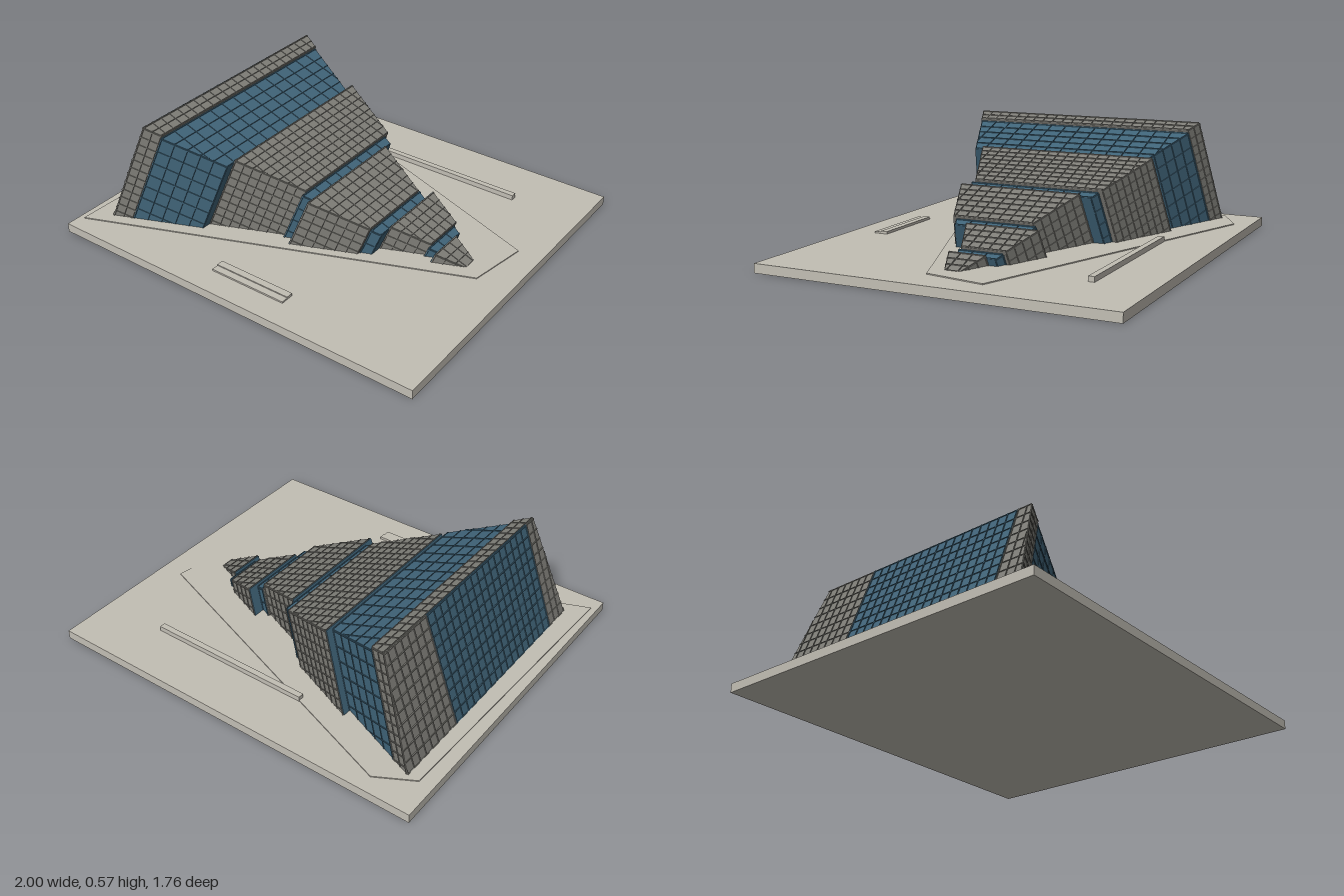
import * as THREE from 'three';
import { mergeGeometries } from 'three/addons/utils/BufferGeometryUtils.js';

const material = (name, color) => new THREE.MeshStandardMaterial({ name, color });

const GROUND = 0.045, LEAN = 0.36, TAPER = 0.41, PITCH = 0.3226;
const RIB = 0.004, PROUD = 0.004;

// leaning wedge: s is the x position at ground level, y the height over the ground
const xAt = (s, y) => s + LEAN * y;
const halfWidth = x => 0.343 - TAPER * x;
const roofAt = (s, drop) => Math.max(0.001, 0.2446 - PITCH * s - drop);

// six-sided solid from a corner rule f(i, j, k) -> [x, y, z], flat shaded
function block(f) {
  const c = [];
  for (let n = 0; n < 8; n++) c.push(new THREE.Vector3(...f(n & 1, (n >> 1) & 1, n >> 2)));
  const quads = [[0, 4, 6, 2], [1, 3, 7, 5], [0, 1, 5, 4], [2, 6, 7, 3], [0, 2, 3, 1], [4, 5, 7, 6]];
  const u = c[1].clone().sub(c[0]), v = c[2].clone().sub(c[0]), w = c[4].clone().sub(c[0]);
  const flip = u.cross(v).dot(w) < 0;
  const pos = [];
  for (const q of quads) {
    const [a, b, d, e] = flip ? [...q].reverse() : q;
    for (const i of [a, b, d, a, d, e]) pos.push(c[i].x, c[i].y + GROUND, c[i].z);
  }
  const g = new THREE.BufferGeometry();
  g.setAttribute('position', new THREE.Float32BufferAttribute(pos, 3));
  g.computeVertexNormals();
  return g;
}

// evenly spaced positions across a span
function steps(a, b, size) {
  const n = Math.max(1, Math.round((b - a) / size));
  return Array.from({ length: n + 1 }, (_, i) => a + (b - a) * i / n);
}

// one slice of the tower with ribs on its roof and side walls
function sliceGeometry({ s0, s1, zc, drop, grid }) {
  const top = s => roofAt(s, drop);
  const parts = [block((i, j, k) => {
    const s = i ? s1 : s0, y = j ? top(s) : 0, x = xAt(s, y);
    return [x, y, zc + (k ? 1 : -1) * halfWidth(x)];
  })];
  const sideStep = (sa, sb, low, high) => {
    for (const side of [-1, 1]) parts.push(block((i, j, k) => {
      const s = i ? sb : sa, y = Math.max(0, j ? high(s) : low(s)), x = xAt(s, y);
      return [x, y, zc + side * (halfWidth(x) + (k ? PROUD : -0.002))];
    }));
  };
  // leaning ribs, up the walls and over the roof
  for (const p of steps(s0 + RIB, s1 - RIB, grid * 0.85)) {
    const a = p - RIB / 2, b = p + RIB / 2;
    sideStep(a, b, () => 0, top);
    parts.push(block((i, j, k) => {
      const s = i ? b : a, x = xAt(s, top(s));
      return [x, top(s) + (j ? PROUD : -0.002), zc + (k ? 1 : -1) * halfWidth(x)];
    }));
  }
  // wall ribs parallel to the roof
  for (let d = RIB; d < top(s0) - RIB; d += grid * 0.8) {
    const end = Math.min(s1, s0 + (top(s0) - d) / PITCH);
    sideStep(s0, end, s => top(s) - d - RIB, s => top(s) - d);
  }
  // lengthwise roof ribs, stopping at the tapering eaves
  const w0 = halfWidth(xAt(s0, top(s0)));
  for (const z of steps(-w0 + RIB, w0 - RIB, grid)) {
    const end = Math.min(s1, s0 + (w0 - Math.abs(z)) / (TAPER * (1 - LEAN * PITCH)));
    parts.push(block((i, j, k) => {
      const s = i ? end : s0;
      return [xAt(s, top(s)), top(s) + (j ? PROUD : -0.002), zc + z + (k ? RIB / 2 : -RIB / 2)];
    }));
  }
  return mergeGeometries(parts);
}

// thin plate laid on the leaning rear face of a slice
function capPlate({ s0, zc, drop }) {
  const t = roofAt(s0, drop);
  return block((i, j, k) => {
    const y = j ? t : 0;
    return [xAt(s0, y) + (i ? 0 : -0.003), y, zc + (k ? 1 : -1) * halfWidth(xAt(s0, y))];
  });
}

// ribbed bay of the big rear facade, between two z positions
function facadeBay(s0, za, zb) {
  const t = roofAt(s0, 0);
  const clamp = (z, y) => { const h = halfWidth(xAt(s0, y)); return Math.max(-h, Math.min(h, z)); };
  const plate = (ya, yb, z0, z1, out) => block((i, j, k) => {
    const y = j ? yb : ya;
    return [xAt(s0, y) + (i ? 0.002 : -out), y, clamp(k ? z1 : z0, y)];
  });
  const parts = [plate(0, t, za, zb, 0.002)];
  for (const y of steps(RIB, t - RIB, 0.05)) parts.push(plate(y - RIB / 2, y + RIB / 2, za, zb, 0.006));
  for (const z of steps(za + RIB, zb - RIB, 0.05)) {
    const yMax = Math.min(t, ((0.343 - Math.abs(z)) / TAPER - s0) / LEAN);
    if (yMax > 0.01) parts.push(plate(0, yMax, z - RIB / 2, z + RIB / 2, 0.006));
  }
  return mergeGeometries(parts);
}

export function createModel() {
  const group = new THREE.Group();
  group.name = 'wedgeTower';
  const paving = material('paleStone', 0xc2beb4);
  const stone = material('greyCladding', 0x7e7d77);
  const glass = material('blueGlass', 0x406479);
  const add = (name, geometry, mat) => {
    const mesh = new THREE.Mesh(geometry, mat);
    mesh.name = name;
    group.add(mesh);
    return mesh;
  };
  const box = (name, x0, x1, y0, y1, z0, z1) =>
    add(name, new THREE.BoxGeometry(x1 - x0, y1 - y0, z1 - z0), paving)
      .position.set((x0 + x1) / 2, (y0 + y1) / 2, (z0 + z1) / 2);

  // base, plaza and low outdoor blocks
  box('base', -1, 1, 0, GROUND, -0.88, 0.88);
  const outline = [[-0.97, 0.8], [0.83, 0.09], [0.88, -0.21], [-0.75, -0.8], [-0.93, -0.7]];
  const plaza = new THREE.ExtrudeGeometry(
    new THREE.Shape(outline.map(([x, z]) => new THREE.Vector2(x, -z))), { depth: 0.005, bevelEnabled: false });
  plaza.rotateX(-Math.PI / 2).translate(0, GROUND, 0);
  add('plaza', plaza, paving);
  box('longWall', -0.22, 0.64, GROUND, 0.07, -0.61, -0.58);
  box('lowerStep', -0.18, 0.23, GROUND, 0.053, 0.68, 0.75);
  box('upperStep', -0.18, 0.23, 0.053, 0.058, 0.68, 0.715);

  // slices alternate stone and glass, shifted sideways from one another
  const cuts = [-0.87, -0.775, -0.44, -0.08, -0.025, 0.285, 0.34, 0.545, 0.595, 0.75];
  const shifts = [0, 0, -0.044, -0.022, 0.03, 0.016, -0.045, -0.03, 0.012];
  shifts.forEach((zc, n) => {
    const isGlass = n % 2 === 1;
    const slice = {
      s0: cuts[n], s1: cuts[n + 1], zc,
      drop: isGlass ? 0.015 : 0, grid: isGlass ? 0.085 : 0.055,
    };
    add((isGlass ? 'glassSlice' : 'stoneSlice') + (n + 1), sliceGeometry(slice), isGlass ? glass : stone);
    if (n > 0 && !isGlass) add('rearGlazing' + (n + 1), capPlate(slice), glass);
    if (n > 1 && isGlass) add('rearCladding' + (n + 1), capPlate(slice), stone);
  });

  // rear facade
  add('rearFacadeRight', facadeBay(cuts[0], -0.7, -0.31), stone);
  add('rearFacadeGlass', facadeBay(cuts[0], -0.31, 0.55), glass);
  add('rearFacadeLeft', facadeBay(cuts[0], 0.55, 0.7), stone);
  return group;
}
